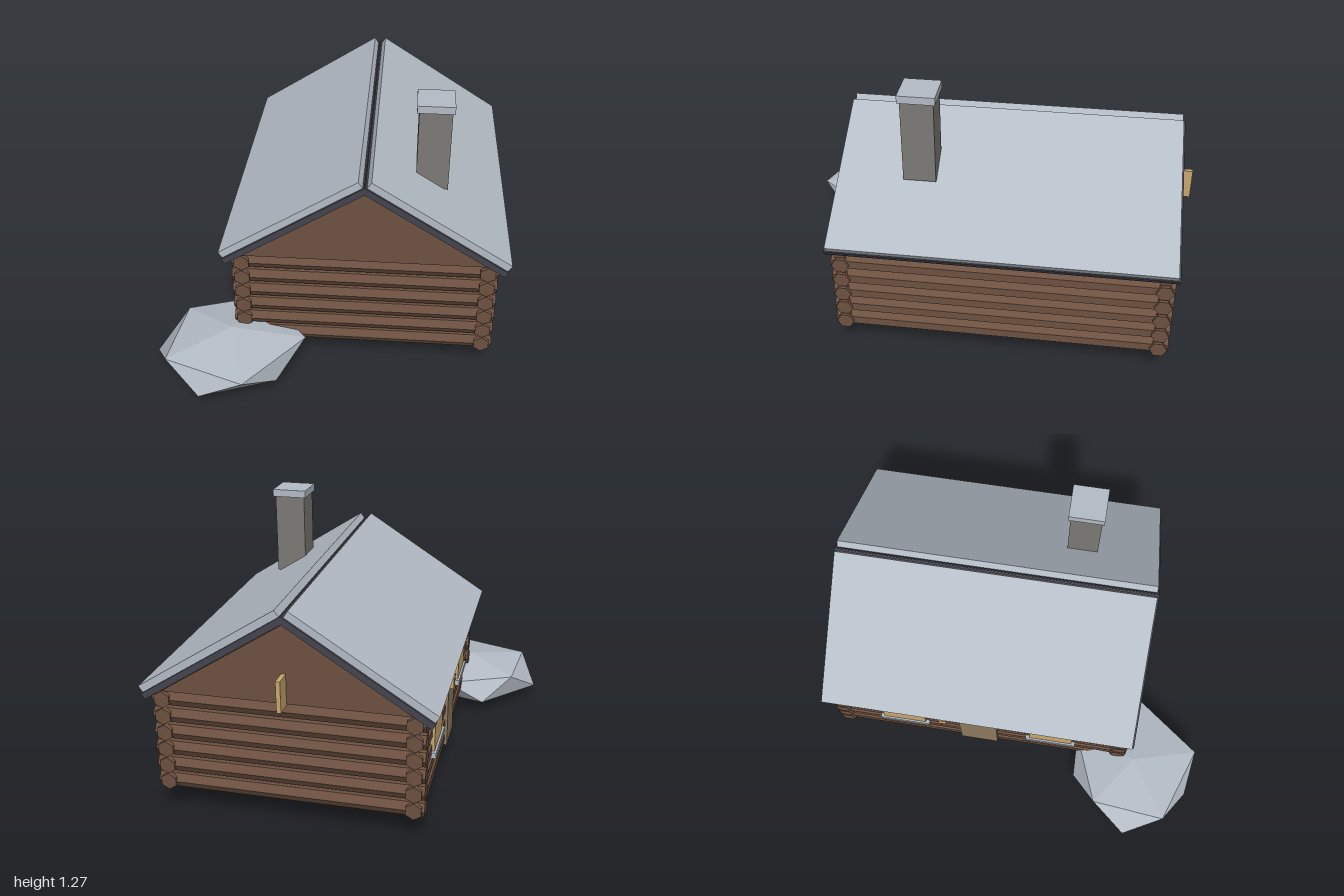
import * as THREE from 'three';
import { ConvexGeometry } from 'three/addons/geometries/ConvexGeometry.js';

const material = (name, color) => {
  const m = new THREE.MeshStandardMaterial({ color });
  m.name = name;
  return m;
};

// Give every face its own normal
function faceted(geometry) {
  const g = geometry.index ? geometry.toNonIndexed() : geometry;
  g.computeVertexNormals();
  return g;
}

export function createModel() {
  const wood = material('log brown', 0x6d5141);
  const stone = material('pale grey', 0xb4bcc6);
  const dark = material('dark slate', 0x44444e);
  const brick = material('chimney grey', 0x7c7a76);
  const gold = material('window gold', 0xcba86f);
  const plank = material('door tan', 0x8f7b5f);

  const model = new THREE.Group();
  const CX = 0.158, CZ = -0.152; // cabin centre

  const add = (name, geometry, mat, x, y, z, parent = model) => {
    const mesh = new THREE.Mesh(geometry, mat);
    mesh.name = name;
    mesh.position.set(x, y, z);
    parent.add(mesh);
    return mesh;
  };
  const box = (name, mat, w, h, d, x, y, z, parent) =>
    add(name, new THREE.BoxGeometry(w, h, d), mat, x, y, z, parent);

  // Log walls: six courses of hexagonal logs crossing at the corners
  const walls = new THREE.Group();
  walls.name = 'logWalls';
  model.add(walls);
  const crossLog = faceted(new THREE.CylinderGeometry(0.04, 0.04, 1.22, 6).rotateZ(Math.PI / 2));
  const sideLog = faceted(new THREE.CylinderGeometry(0.04, 0.04, 1.55, 6).rotateX(Math.PI / 2));
  for (let i = 0; i < 6; i++) {
    const y = 0.172 + i * 0.0823;
    for (const s of [-1, 1]) {
      add('endWallLog', crossLog, wood, CX, y, CZ + s * 0.73, walls);
      add('sideWallLog', sideLog, wood, CX + s * 0.5625, y, CZ, walls);
    }
  }

  // Triangular gables
  const triangle = new THREE.Shape([
    new THREE.Vector2(-0.5625, 0.625),
    new THREE.Vector2(0.5625, 0.625),
    new THREE.Vector2(0, 0.985),
  ]);
  const gable = new THREE.ExtrudeGeometry(triangle, { depth: 0.07, bevelEnabled: false });
  gable.translate(0, 0, -0.035);
  for (const s of [-1, 1]) add('gable', gable, wood, CX, 0, CZ + s * 0.735);

  // Roof: a pale slab over a dark one on each slope
  for (const s of [-1, 1]) {
    const tilt = -s * 0.57;
    box('roofCover', stone, 0.757, 0.035, 1.55, CX + s * 0.338, 0.83, CZ).rotation.z = tilt;
    box('roofBoard', dark, 0.771, 0.03, 1.57, CX + s * 0.319, 0.804, CZ).rotation.z = tilt;
  }

  // Chimney
  box('chimney', brick, 0.15, 0.4, 0.15, 0.454, 1.04, 0.243);
  box('chimneyCap', stone, 0.17, 0.036, 0.17, 0.454, 1.254, 0.243);

  // Door, lamp and windows on the entrance side
  box('door', plank, 0.03, 0.335, 0.195, -0.437, 0.305, -0.16);
  box('lamp', gold, 0.04, 0.05, 0.04, -0.468, 0.518, -0.33);
  for (const s of [-1, 1]) {
    const z = -0.165 + s * 0.385;
    box('window', gold, 0.03, 0.21, 0.22, -0.436, 0.405, z);
    box('windowSill', stone, 0.035, 0.028, 0.26, -0.443, 0.314, z);
  }

  // Upright panel standing out from the back gable
  box('gablePanel', gold, 0.02, 0.145, 0.13, CX, 0.692, -0.935);

  // Faceted boulder: two rings between two poles
  const boulder = [
    [-0.46, 0.24, 0.67], [-0.47, 0, 0.67],
    [-0.11, 0.19, 0.66], [-0.36, 0.19, 0.995], [-0.74, 0.19, 0.86],
    [-0.705, 0.19, 0.49], [-0.36, 0.18, 0.36],
    [-0.23, 0.075, 0.84], [-0.57, 0.08, 0.975], [-0.828, 0.07, 0.67],
    [-0.56, 0.075, 0.37], [-0.21, 0.075, 0.47],
  ].map((p) => new THREE.Vector3(...p));
  add('boulder', new ConvexGeometry(boulder), stone, 0, 0, 0);

  return model;
}
